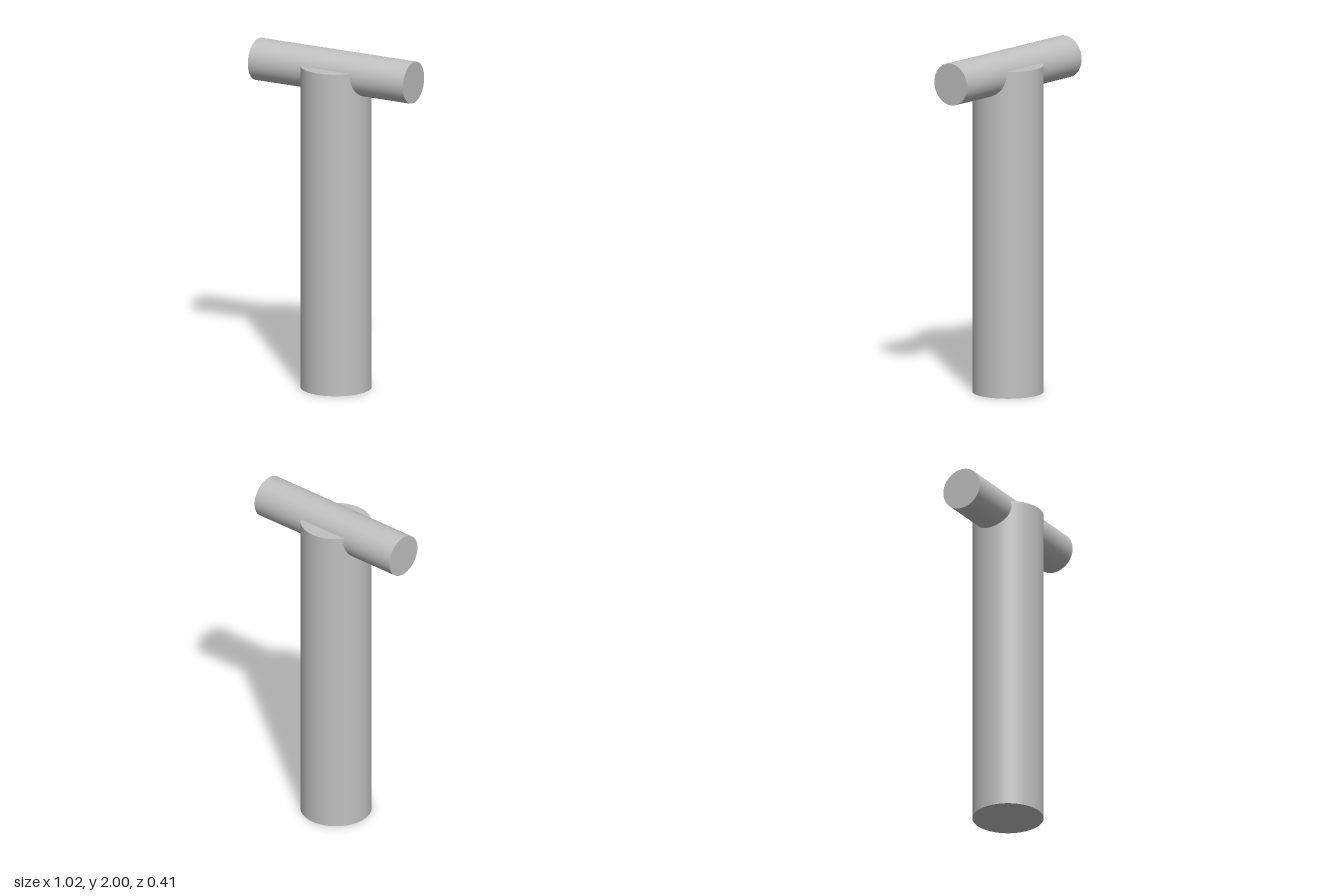
import * as THREE from 'three';

const POST_RADIUS = 0.204, POST_HEIGHT = 1.91;
const BAR_RADIUS = 0.122, BAR_LENGTH = 1.024, TOP = 2;

export function createModel() {
  const model = new THREE.Group();
  model.name = 'tPost';

  const grey = new THREE.MeshStandardMaterial({ color: 0xc0c0c0 });
  grey.name = 'plain grey';

  // Round rod with smooth sides and sharp flat ends
  const rod = (name, radius, length) => {
    const mesh = new THREE.Mesh(new THREE.CylinderGeometry(radius, radius, length, 64), grey);
    mesh.name = name;
    model.add(mesh);
    return mesh;
  };

  // Upright post standing on the ground
  rod('post', POST_RADIUS, POST_HEIGHT).position.y = POST_HEIGHT / 2;

  // Crossbar set through the top of the post, along x
  const bar = rod('crossbar', BAR_RADIUS, BAR_LENGTH);
  bar.rotation.z = Math.PI / 2;
  bar.position.y = TOP - BAR_RADIUS;

  return model;
}
